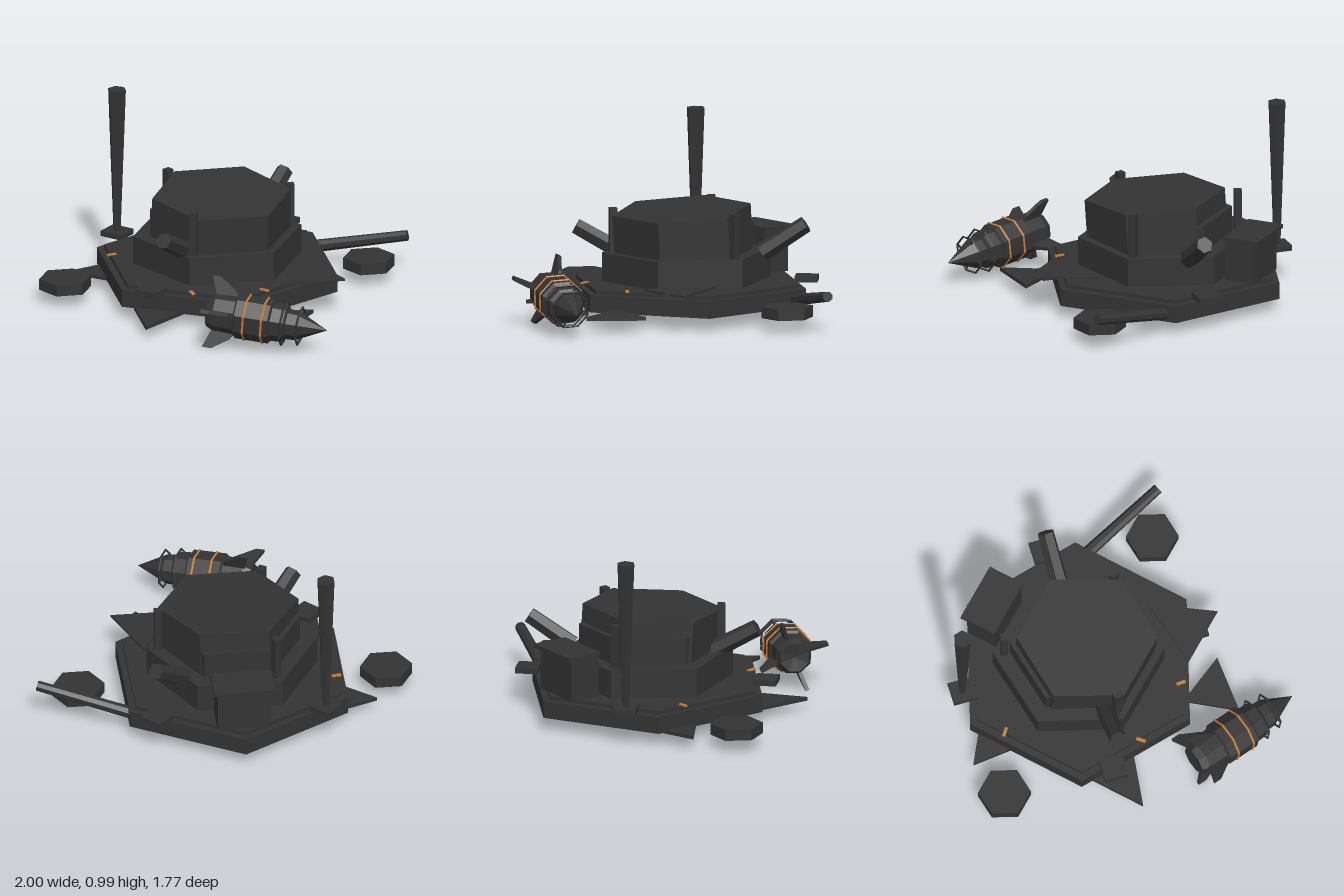
import * as THREE from 'three';

export function createModel() {
  const model = new THREE.Group();
  const dark = new THREE.MeshStandardMaterial({ color: 0x333333, flatShading: true });
  dark.name = 'dark metal';
  const orange = new THREE.MeshStandardMaterial({ color: 0xc67c34, flatShading: true });
  orange.name = 'orange glow';
  const CX = -0.05, CZ = -0.225;

  function add(name, geo, x = 0, y = 0, z = 0, parent = model, mat = dark) {
    const m = new THREE.Mesh(geo, mat);
    m.name = name;
    m.position.set(x, y, z);
    parent.add(m);
    return m;
  }
  const box = (w, h, d) => new THREE.BoxGeometry(w, h, d);
  // six-sided slab between two heights, turn in radians
  function hex(name, r, y0, y1, x, z, turn = 0) {
    const m = add(name, new THREE.CylinderGeometry(r, r, y1 - y0, 6), x, (y0 + y1) / 2, z);
    m.rotation.y = turn;
    return m;
  }
  // straight barrel between two points
  function beam(name, a, b, r0, r1, sides = 6) {
    const p = new THREE.Vector3(...a), q = new THREE.Vector3(...b);
    const d = q.clone().sub(p), c = p.add(q).multiplyScalar(0.5);
    const m = add(name, new THREE.CylinderGeometry(r1, r0, d.length(), sides), c.x, c.y, c.z);
    m.quaternion.setFromUnitVectors(new THREE.Vector3(0, 1, 0), d.normalize());
    return m;
  }
  // thin triangular plate from three [x, z] corners
  function shard(name, pts, y, t) {
    const s = new THREE.Shape(pts.map(([x, z]) => new THREE.Vector2(x, -z)));
    const g = new THREE.ExtrudeGeometry(s, { depth: t, bevelEnabled: false });
    g.rotateX(-Math.PI / 2);
    return add(name, g, 0, y, 0);
  }

  // Platform and turret tiers
  hex('platform', 0.665, 0.053, 0.145, CX, CZ);
  hex('deck', 0.625, 0.14, 0.165, CX, CZ);
  hex('turretBase', 0.45, 0.16, 0.317, CX, CZ, Math.PI / 6);
  hex('turretTier', 0.36, 0.31, 0.46, CX, CZ, Math.PI / 6);
  hex('turretBlock', 0.37, 0.3, 0.538, -0.036, -0.188, Math.PI / 6);
  const block = model.children[model.children.length - 1];
  block.rotation.set(0.07, Math.PI / 6, 0, 'XYZ');

  // Posts on alternate corners of the turret
  for (let i = 0; i < 3; i++) {
    const a = i * Math.PI * 2 / 3;
    const p = add('turretPost', box(0.04, 0.24, 0.04), CX + 0.39 * Math.cos(a), 0.432, CZ + 0.39 * Math.sin(a));
    p.rotation.y = -a;
  }

  // Diagonal mounts, mast and gun barrels
  for (const sx of [-1, 1]) for (const sz of [-1, 1]) {
    const m = add('mount', box(0.12, 0.03, 0.125), CX + sx * 0.445, 0.175, CZ + sz * 0.45);
    m.rotation.y = Math.PI / 4;
  }
  add('mast', new THREE.CylinderGeometry(0.049, 0.02, 0.79, 6), -0.495, 0.58, -0.675);
  beam('backBarrel', [0.24, 0.31, -0.5], [0.4, 0.462, -0.665], 0.05, 0.045);
  beam('frontBarrel', [-0.26, 0.31, 0.04], [-0.425, 0.445, 0.215], 0.05, 0.045);
  beam('looseBarrel', [0.42, 0.075, -0.52], [0.985, 0.182, -0.312], 0.034, 0.028, 8);

  // Storage cabin at the back
  add('cabin', box(0.28, 0.235, 0.17), CX, 0.28, -0.725);
  add('cabinLid', box(0.32, 0.02, 0.2), CX, 0.4, -0.74);

  // Loose side discs
  hex('sideDisc', 0.138, 0.055, 0.115, -0.863, CZ, Math.PI / 6);
  hex('sideDisc', 0.138, 0.055, 0.115, 0.76, CZ, Math.PI / 6);

  // Scattered plates
  shard('rightShard', [[-0.79, -0.45], [-0.5, -0.22], [-0.5, -0.555]], 0.045, 0.02);
  shard('frontRightShard', [[-0.565, 0.44], [-0.25, 0.19], [-0.565, 0.13]], 0.04, 0.02);
  shard('deckShard', [[0.39, -0.05], [0.21, 0.29], [0.53, 0.29]], 0.18, 0.012);
  shard('frontShard', [[0.045, 0.35], [0.14, 0.63], [0.34, 0.39]], 0.05, 0.02);

  // Glowing strips on the deck
  for (const [x, z, turn] of [[-0.585, -0.372, 0.2], [-0.285, 0.275, 1.75], [0.095, 0.308, -0.72]])
    add('glowStrip', box(0.05, 0.009, 0.017), x, 0.167, z, model, orange).rotation.y = turn;

  // Rocket: local +y runs toward the nose
  const rocket = new THREE.Group();
  rocket.name = 'rocket';
  rocket.position.set(-0.067, 0.155, 0.663);
  rocket.quaternion.setFromUnitVectors(new THREE.Vector3(0, 1, 0), new THREE.Vector3(0.9, -0.08, 0.424).normalize());
  model.add(rocket);
  const profile = [[0, -0.2], [0.08, -0.21], [0.1, -0.17], [0.104, -0.06], [0.118, -0.05], [0.118, 0.13],
    [0.102, 0.14], [0.098, 0.21], [0.08, 0.22], [0.078, 0.27], [0, 0.433]];
  add('rocketBody', new THREE.LatheGeometry(profile.map(p => new THREE.Vector2(...p)), 8), 0, 0, 0, rocket);
  const hoop = (name, r, tube, y, mat) => {
    const g = new THREE.TorusGeometry(r, tube, 4, 8);
    g.rotateX(Math.PI / 2);
    g.rotateY(Math.PI / 8 * 2);
    add(name, g, 0, y, 0, rocket, mat);
  };
  hoop('glowRing', 0.121, 0.006, 0, orange);
  hoop('glowRing', 0.121, 0.006, 0.098, orange);
  hoop('noseHoop', 0.115, 0.006, 0.2, dark);
  hoop('noseHoop', 0.1, 0.006, 0.285, dark);

  // Tail fins and hoop struts in four diagonal directions
  const fin = new THREE.Shape([[0.07, -0.04], [0.13, -0.08], [0.19, -0.17], [0.19, -0.215], [0.07, -0.17]]
    .map(p => new THREE.Vector2(...p)));
  for (let i = 0; i < 4; i++) {
    const arm = new THREE.Group();
    arm.name = 'finArm';
    arm.rotation.y = Math.PI / 4 + i * Math.PI / 2;
    rocket.add(arm);
    add('fin', new THREE.ExtrudeGeometry(fin, { depth: 0.02, bevelEnabled: false }), 0, 0, -0.01, arm);
    add('hoopStrut', box(0.03, 0.008, 0.008), 0.1, 0.2, 0, arm);
    add('hoopStrut', box(0.04, 0.008, 0.008), 0.083, 0.285, 0, arm);
  }
  return model;
}
